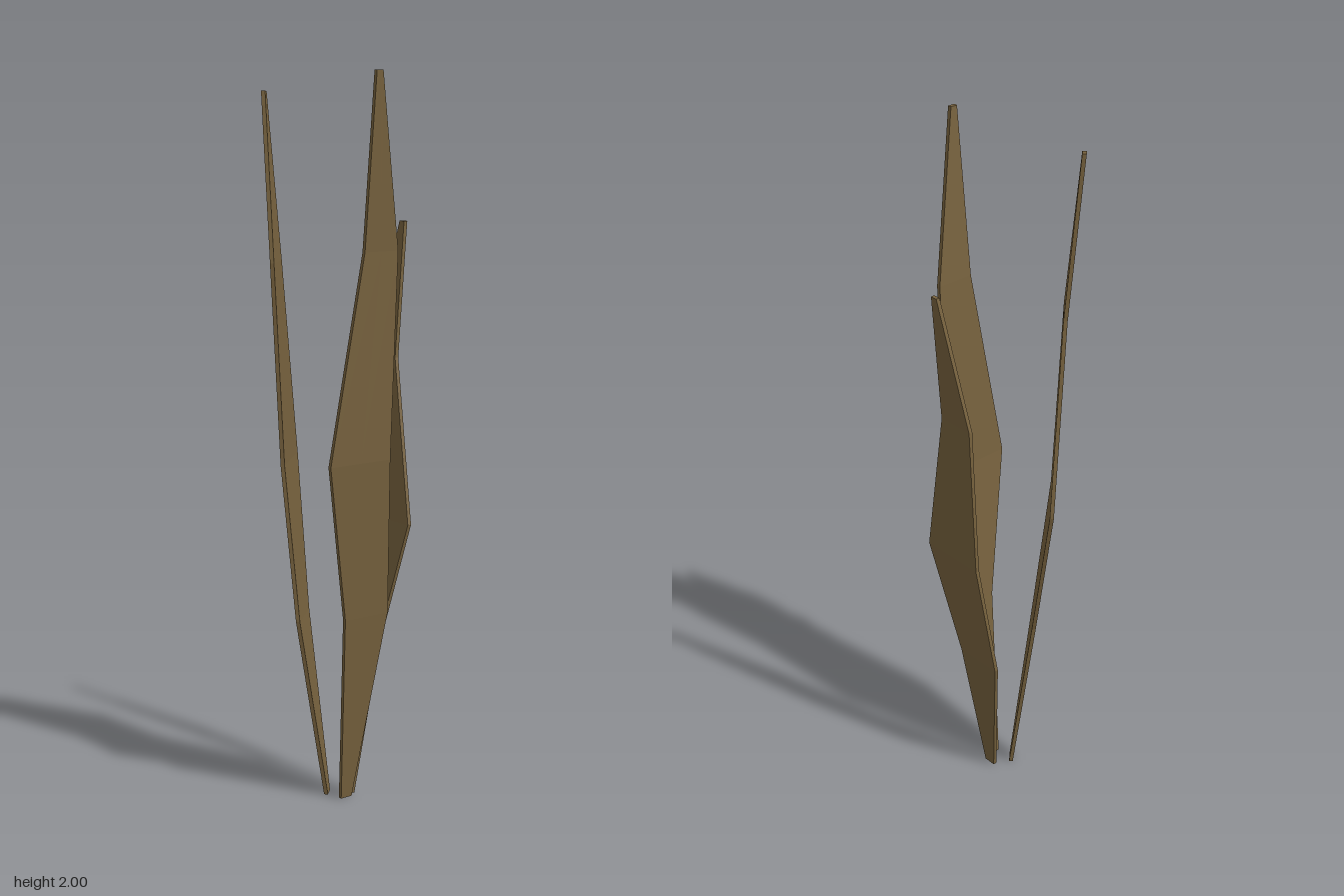
import * as THREE from 'three';

// One blade: [height fraction, outward lean, right edge, crease, left edge]
const SECTIONS = [
  [0.0, 0.0, -0.018, 0.0, 0.018],
  [0.27, 0.064, -0.094, -0.021, 0.05],
  [0.49, 0.109, -0.066, 0.032, 0.13],
  [0.77, 0.133, -0.07, -0.016, 0.038],
  [1.0, 0.169, 0.008, 0.018, 0.028],
];
const THICKNESS = 0.011;

function bladeGeometry() {
  const rings = SECTIONS.map(([y, x, a, c, b]) => {
    const o = x + THICKNESS;
    return [[x, y, a], [x, y, c], [x, y, b], [o, y, b], [o, y, c], [o, y, a]];
  });
  const pos = [];
  const quad = (p, q, r, s) => [p, q, r, p, r, s].forEach((v) => pos.push(...v));
  // walls between neighbouring sections
  for (let i = 0; i < rings.length - 1; i++) {
    const lo = rings[i], hi = rings[i + 1];
    for (let j = 0; j < 6; j++) {
      const k = (j + 1) % 6;
      quad(lo[j], lo[k], hi[k], hi[j]);
    }
  }
  // end caps
  const t = rings[rings.length - 1], b = rings[0];
  quad(t[0], t[1], t[4], t[5]);
  quad(t[1], t[2], t[3], t[4]);
  quad(b[5], b[4], b[1], b[0]);
  quad(b[4], b[3], b[2], b[1]);
  const g = new THREE.BufferGeometry();
  g.setAttribute('position', new THREE.Float32BufferAttribute(pos, 3));
  return g;
}

export function createModel() {
  const group = new THREE.Group();
  group.name = 'grassTuft';
  const mat = new THREE.MeshStandardMaterial({ color: 0x77623e, flatShading: true });
  mat.name = 'dryBrown';

  // name, base x, base z, turn, height
  const blades = [
    ['leftBlade', 0.02, 0.018, 0, 2.0],
    ['frontBlade', -0.028, 0.036, -Math.PI * 0.75, 1.95],
    ['backBlade', -0.002, -0.01, Math.PI / 2, 1.605],
  ];
  for (const [name, x, z, turn, height] of blades) {
    const g = bladeGeometry().scale(1, height, 1);
    g.computeVertexNormals();
    const mesh = new THREE.Mesh(g, mat);
    mesh.name = name;
    mesh.position.set(x, 0, z);
    mesh.rotation.y = turn;
    group.add(mesh);
  }
  return group;
}
